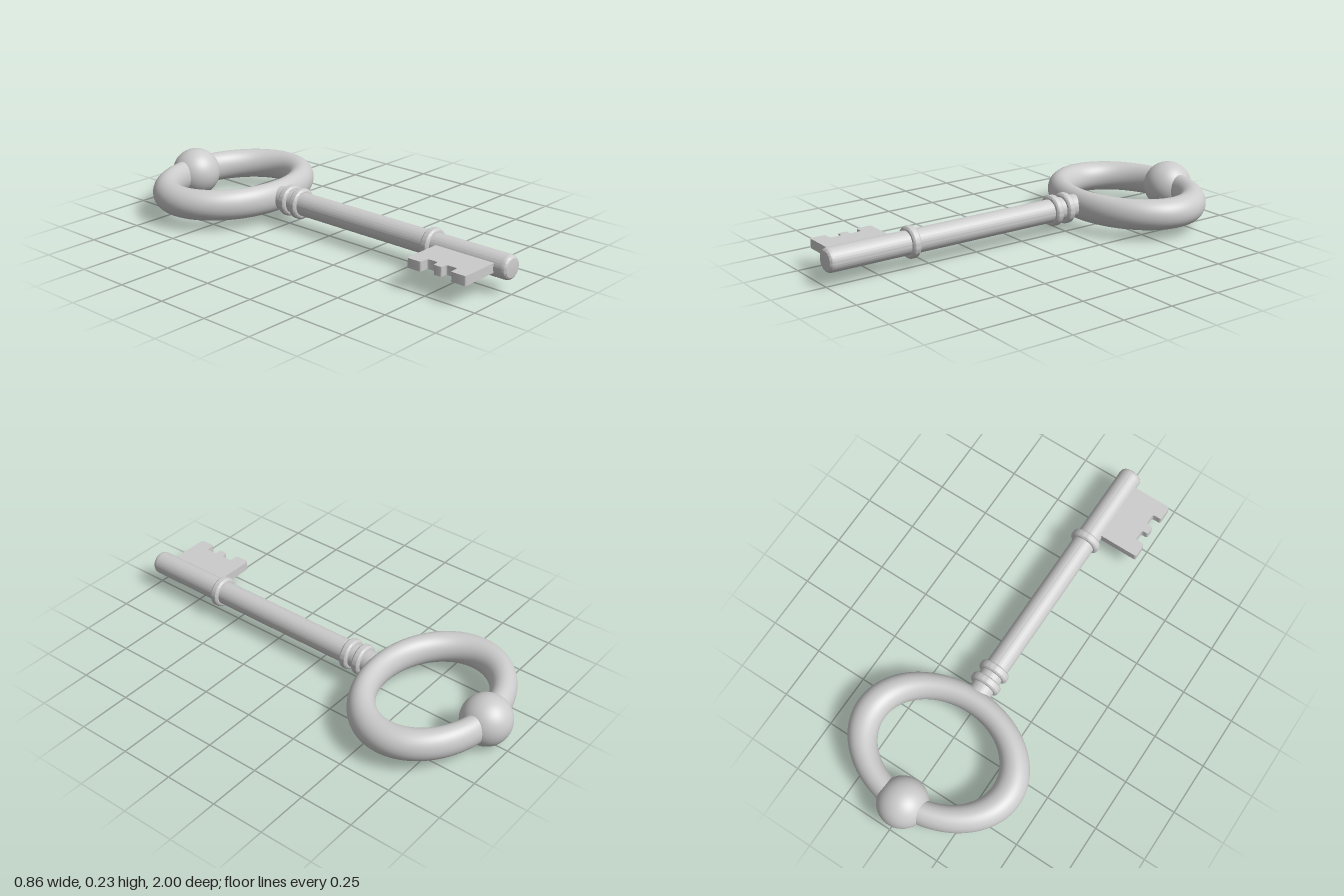
import * as THREE from 'three';
import { toCreasedNormals } from 'three/addons/utils/BufferGeometryUtils.js';

const AXIS_Y = 0.118;
const material = new THREE.MeshStandardMaterial({ color: 0xcccccc });

function add(group, name, geometry, y = 0, z = 0) {
  const mesh = new THREE.Mesh(geometry, material);
  mesh.name = name;
  mesh.position.set(0, y, z);
  group.add(mesh);
  return mesh;
}

// Turned part along z from [radius, z] pairs, listed back to front
function turned(points) {
  const profile = points.map(([r, z]) => new THREE.Vector2(r, z));
  const geometry = new THREE.LatheGeometry(profile, 64).rotateX(Math.PI / 2);
  return toCreasedNormals(geometry, 0.7);
}

// Closed polygon whose corners are rounded by a small radius
function roundedShape(corners, radius) {
  const shape = new THREE.Shape();
  const points = corners.map(([x, y]) => new THREE.Vector2(x, y));
  points.forEach((p, i) => {
    const prev = points[(i + points.length - 1) % points.length];
    const next = points[(i + 1) % points.length];
    const a = p.clone().add(prev.clone().sub(p).setLength(radius));
    const b = p.clone().add(next.clone().sub(p).setLength(radius));
    if (i === 0) shape.moveTo(a.x, a.y);
    else shape.lineTo(a.x, a.y);
    shape.quadraticCurveTo(p.x, p.y, b.x, b.y);
  });
  shape.closePath();
  return shape;
}

export function createModel() {
  const key = new THREE.Group();
  key.name = 'key';

  // Oval bow with a ball at its far end
  const bow = new THREE.TorusGeometry(0.357, 0.071, 40, 112).rotateX(Math.PI / 2).scale(1, 1, 0.77);
  add(key, 'bowRing', bow, AXIS_Y, -0.613);
  add(key, 'bowBall', new THREE.SphereGeometry(0.115, 56, 36), AXIS_Y, -0.885);

  // Round shaft with a softened tip
  const shaft = [[0, -0.33], [0.054, -0.33], [0.054, 0.978]];
  for (let i = 1; i <= 6; i++) {
    const a = (i / 6) * Math.PI / 2;
    shaft.push([0.04 + 0.014 * Math.cos(a), 0.978 + 0.022 * Math.sin(a)]);
  }
  shaft.push([0, 1]);
  add(key, 'shaft', turned(shaft), AXIS_Y);

  // Three collars with rounded rims
  const collar = [[0.045, -0.02]];
  for (const side of [-1, 1]) {
    for (let i = 0; i <= 6; i++) {
      const a = side * ((side < 0 ? 6 - i : i) / 6) * Math.PI / 2;
      collar.push([0.058 + 0.014 * Math.cos(a), side * 0.006 + 0.014 * Math.sin(a)]);
    }
  }
  collar.push([0.045, 0.02]);
  const collarGeometry = turned(collar);
  [['frontCollar', 0.592], ['middleCollar', -0.173], ['rearCollar', -0.24]]
    .forEach(([name, z]) => add(key, name, collarGeometry, AXIS_Y, z));

  // Flat bit with two wide teeth and a small middle one, drawn in x and z
  const bit = roundedShape([
    [-0.02, 0.645], [-0.02, 0.942],
    [-0.24, 0.942], [-0.24, 0.868], [-0.195, 0.868],
    [-0.195, 0.813], [-0.228, 0.813], [-0.228, 0.771], [-0.195, 0.771],
    [-0.195, 0.717], [-0.24, 0.717], [-0.24, 0.645],
  ], 0.011);
  const bitGeometry = new THREE.ExtrudeGeometry(bit, { depth: 0.043, bevelEnabled: false, curveSegments: 5 });
  bitGeometry.rotateX(Math.PI / 2);
  add(key, 'bit', toCreasedNormals(bitGeometry, 0.6), 0.14);

  return key;
}
